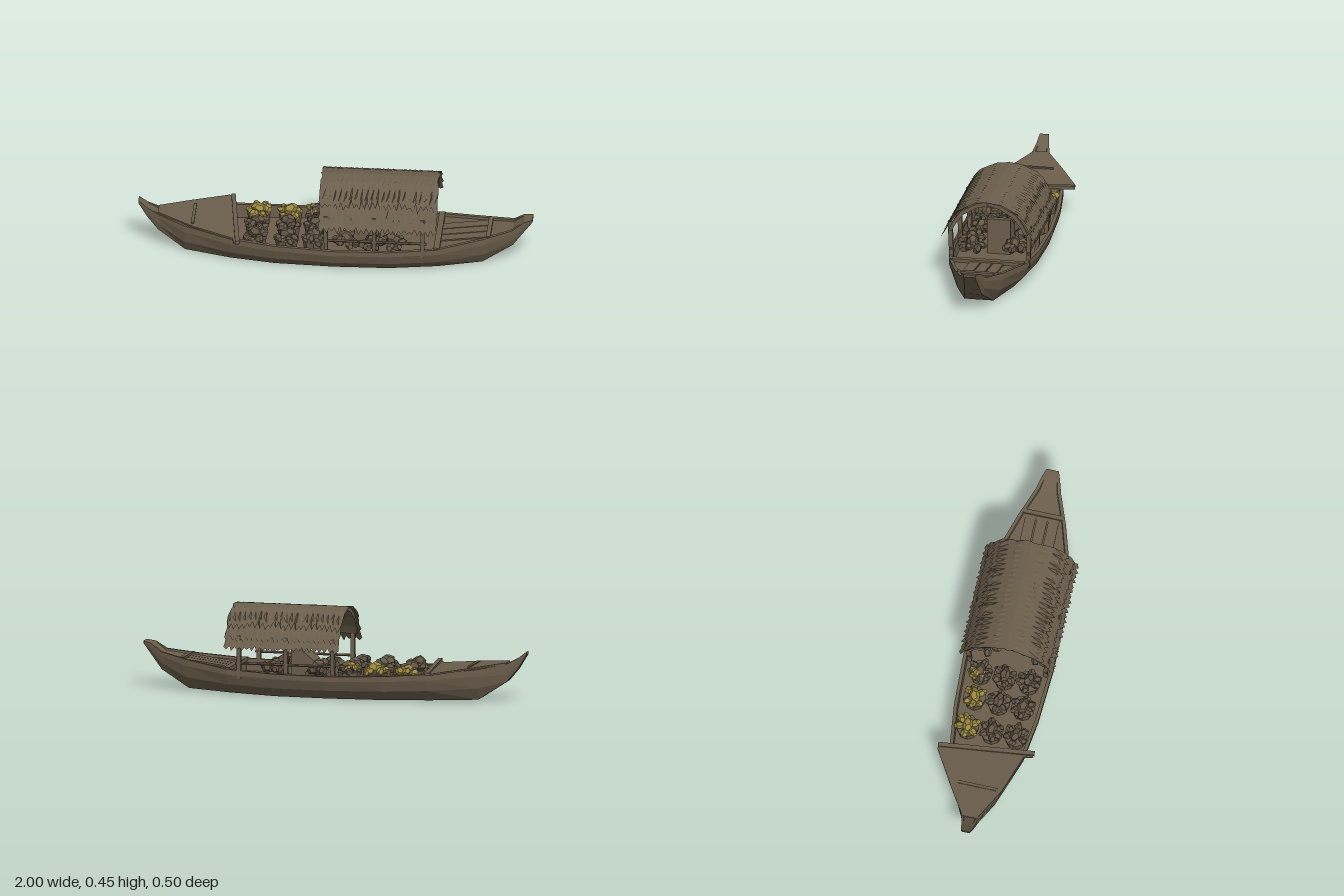
import * as THREE from 'three';
import { mergeGeometries } from 'three/addons/utils/BufferGeometryUtils.js';

let seed = 7;
const rand = () => (seed = (seed * 16807) % 2147483647) / 2147483647;
const jit = (a) => (rand() - 0.5) * 2 * a;

// Skin closed loops of [x, y, z] points, capping both ends
function loft(loops) {
  const n = loops[0].length, pos = loops.flat(2), idx = [];
  for (let i = 0; i < loops.length - 1; i++) {
    for (let j = 0; j < n; j++) {
      const a = i * n + j, b = i * n + (j + 1) % n;
      idx.push(a, b, b + n, a, b + n, a + n);
    }
  }
  const e = (loops.length - 1) * n;
  for (let j = 1; j < n - 1; j++) idx.push(0, j + 1, j, e, e + j, e + j + 1);
  const g = new THREE.BufferGeometry();
  g.setAttribute('position', new THREE.Float32BufferAttribute(pos, 3));
  g.setIndex(idx);
  const flat = g.toNonIndexed();
  flat.computeVertexNormals();
  return flat;
}

export function createModel() {
  seed = 7;
  const boat = new THREE.Group();
  const mat = (name, color, side = THREE.FrontSide) =>
    new THREE.MeshStandardMaterial({ name, color, side, flatShading: true });
  const wood = mat('wood', 0x6b5e4c);
  const thatch = mat('thatch', 0x6b5e4c, THREE.DoubleSide);
  const sack = mat('brown produce', 0x635746);
  const yellow = mat('yellow produce', 0x9c8a42);

  const add = (name, geo, material, parent = boat) => {
    const m = new THREE.Mesh(geo, material);
    m.name = name;
    parent.add(m);
    return m;
  };
  const box = (name, w, h, d, x, y, z, parent) => {
    const m = add(name, new THREE.BoxGeometry(w, h, d), wood, parent);
    m.position.set(x, y, z);
    return m;
  };
  // Round pole between two points
  const pole = (name, a, b, r) => {
    const p = new THREE.Vector3(...a), q = new THREE.Vector3(...b);
    const m = add(name, new THREE.CylinderGeometry(r, r, p.distanceTo(q), 6), wood);
    m.position.copy(p).add(q).multiplyScalar(0.5);
    m.quaternion.setFromUnitVectors(new THREE.Vector3(0, 1, 0), q.sub(p).normalize());
  };

  // Hull stations: x, rim height, half beam, bottom height, bottom half width, floor height
  const stations = [
    [-1, 0.255, 0.024, 0.238, 0.02, 0.255],
    [-0.955, 0.22, 0.032, 0.165, 0.026, 0.22],
    [-0.9, 0.192, 0.045, 0.1, 0.035, 0.186],
    [-0.76, 0.168, 0.112, 0.008, 0.065, 0.158],
    [-0.52, 0.145, 0.19, 0.005, 0.13, 0.135],
    [-0.515, 0.145, 0.191, 0.005, 0.13, 0.07],
    [-0.3, 0.13, 0.218, 0.002, 0.162, 0.065],
    [0, 0.12, 0.232, 0, 0.172, 0.06],
    [0.28, 0.122, 0.225, 0, 0.165, 0.06],
    [0.515, 0.133, 0.2, 0.005, 0.135, 0.07],
    [0.52, 0.133, 0.199, 0.005, 0.135, 0.12],
    [0.75, 0.162, 0.125, 0.01, 0.075, 0.15],
    [0.9, 0.188, 0.066, 0.095, 0.045, 0.18],
    [0.955, 0.226, 0.048, 0.165, 0.036, 0.226],
    [1, 0.235, 0.032, 0.222, 0.028, 0.235],
  ];
  add('hull', loft(stations.map(([x, s, b, y, w, f]) => {
    const t = Math.min(0.018, b * 0.3), ym = y + (s - y) * 0.38, wm = w + (b - w) * 0.72;
    const half = [[s, b], [s - (s - y) * 0.22, b], [ym, wm], [y, w]];
    const inner = [[f, b - t - 0.003], [s, b - t]];
    const mirror = (l) => l.map(([h, z]) => [h, -z]).reverse();
    return [...half, ...mirror(half), ...mirror(inner), ...inner].map(([h, z]) => [x, h, z]);
  })), wood);

  // Skewed bow deck, following the rise of the rim
  const deckShape = new THREE.Shape([[-0.9, 0.035], [-0.72, 0.125], [-0.51, 0.19], [-0.5, 0.235],
    [-0.475, 0.235], [-0.53, -0.24], [-0.56, -0.245], [-0.74, -0.14], [-0.9, -0.04]]
    .map(([x, z]) => new THREE.Vector2(x, -z)));
  const deckGeo = new THREE.ExtrudeGeometry(deckShape, { depth: 0.008, bevelEnabled: false });
  deckGeo.rotateX(-Math.PI / 2);
  const dp = deckGeo.attributes.position;
  for (let i = 0; i < dp.count; i++) dp.setY(i, dp.getY(i) + 0.143 - (dp.getX(i) + 0.5) * 0.118);
  deckGeo.computeVertexNormals();
  add('bowDeck', deckGeo, wood);
  box('bowCrossBeam', 0.022, 0.016, 0.49, -0.51, 0.156, -0.003).rotation.y = 0.12;
  box('bowBrace', 0.015, 0.008, 0.2, -0.72, 0.179, 0);

  // Stern deck planks and cross beams
  box('sternCrossBeam', 0.022, 0.018, 0.21, 0.78, 0.162, 0);
  box('sternThwart', 0.03, 0.02, 0.38, 0.525, 0.13, 0);
  for (const z of [-0.06, 0, 0.06]) {
    box('sternPlank', 0.24, 0.007, 0.054, 0.65, 0.141, z).rotation.z = 0.13;
  }

  // Heaps of produce: a core with crumpled lumps around it
  const heap = (name, x, y, z, r, material) => {
    const lumps = [];
    for (let k = 0; k < 7; k++) {
      const a = k * Math.PI / 3 + jit(0.3), d = k === 6 ? 0 : r * 0.62;
      const g = new THREE.DodecahedronGeometry(r * (k === 6 ? 0.62 : 0.45));
      g.scale(1, 0.75 + jit(0.2), 0.65);
      g.rotateX(jit(0.8)).rotateZ(jit(0.8)).rotateY(-a);
      g.translate(Math.cos(a) * d, k === 6 ? r * 0.25 : jit(r * 0.2), Math.sin(a) * d);
      lumps.push(g);
    }
    add(name, mergeGeometries(lumps), material).position.set(x, y, z);
  };
  [-0.4, -0.24, -0.1].forEach((x, i) => [-0.125, 0, 0.125].forEach((z, j) => {
    const isYellow = j === 0 && i < 2;
    add('basket', new THREE.CylinderGeometry(0.06, 0.05, 0.07, 9), wood).position.set(x, 0.1, z);
    heap('produceHeap', x, 0.14, z, 0.066, isYellow ? yellow : sack);
  }));
  heap('smallYellowHeap', -0.12, 0.155, -0.14, 0.045, yellow);
  for (const [x, z] of [[0.06, 0.12], [0.06, -0.12], [0.3, 0.12], [0.3, -0.1], [0.2, 0.14]]) {
    heap('shelteredHeap', x, 0.13, z, 0.07, sack);
  }

  // Slanted seat under the shelter
  const seat = new THREE.Shape([[0.08, 0.06], [0.22, 0.06], [0.22, 0.245], [0.19, 0.245], [0.1, 0.17]]
    .map((p) => new THREE.Vector2(...p)));
  add('seat', new THREE.ExtrudeGeometry(seat, { depth: 0.12, bevelEnabled: false }), wood)
    .position.z = -0.06;

  // Posts and rails
  for (const s of [-1, 1]) {
    for (const x of [-0.035, 0.21, 0.455]) {
      box('shelterPost', 0.02, 0.22, 0.022, x, 0.2, s * 0.2).rotation.x = s * 0.04;
    }
    pole('sideRail', [-0.05, 0.167, s * 0.2], [0.475, 0.167, s * 0.2], 0.007);
    pole('eaveRail', [-0.05, 0.295, s * 0.19], [0.5, 0.295, s * 0.19], 0.008);
  }

  // Arched roof shell
  const outer = [[0, 0.446], [0.06, 0.432], [0.14, 0.388], [0.182, 0.33], [0.205, 0.28]];
  const inner = [[0.186, 0.28], [0.165, 0.32], [0.127, 0.37], [0.055, 0.411], [0, 0.426]];
  const flip = (l) => l.map(([z, y]) => [-z, y]).reverse();
  const ring = [...outer, ...inner, ...flip(inner).slice(1), ...flip(outer).slice(0, -1)];
  const roofShape = new THREE.Shape(ring.map(([z, y]) => new THREE.Vector2(z, y)));
  const roofGeo = new THREE.ExtrudeGeometry(roofShape, { depth: 0.57, bevelEnabled: false });
  roofGeo.rotateY(-Math.PI / 2).translate(0.51, 0, 0);
  add('roofShell', roofGeo, wood);

  // Overlapping thatch layers with ragged lower edges
  const slope = [[0, 0.448], [0.06, 0.437], [0.143, 0.394], [0.19, 0.33], [0.22, 0.272], [0.25, 0.225]];
  const along = (t) => {
    const i = Math.min(4, Math.floor(t * 5)), f = t * 5 - i;
    return [0, 1].map((k) => slope[i][k] + (slope[i + 1][k] - slope[i][k]) * f);
  };
  const thatchLayer = (side, t0, t1, lift) => {
    const cols = 44, rows = 5, pos = [], idx = [];
    for (let c = 0; c <= cols; c++) {
      const end = t1 - (c % 2 ? 0.02 : 0.1) - rand() * 0.06, edge = c === 0 || c === cols;
      for (let r = 0; r <= rows; r++) {
        const [z, y] = along(t0 + (end - t0) * r / rows), out = lift * r / rows;
        pos.push(-0.07 + 0.595 * c / cols + jit(edge ? 0.006 : 0.002), y + out * 0.5, side * (z + out));
      }
    }
    for (let c = 0; c < cols; c++) for (let r = 0; r < rows; r++) {
      const a = c * (rows + 1) + r, b = a + rows + 1;
      if (side > 0) idx.push(a, a + 1, b, b, a + 1, b + 1);
      else idx.push(a, b, a + 1, b, b + 1, a + 1);
    }
    const g = new THREE.BufferGeometry();
    g.setAttribute('position', new THREE.Float32BufferAttribute(pos, 3));
    g.setIndex(idx);
    g.computeVertexNormals();
    add('thatchLayer', g, thatch);
  };
  for (const s of [-1, 1]) {
    thatchLayer(s, 0, 0.62, 0.012);
    thatchLayer(s, 0.3, 0.84, 0.009);
    thatchLayer(s, 0.5, 1, 0.004);
  }
  pole('roofRidge', [-0.07, 0.443, 0], [0.525, 0.443, 0], 0.005);

  return boat;
}
